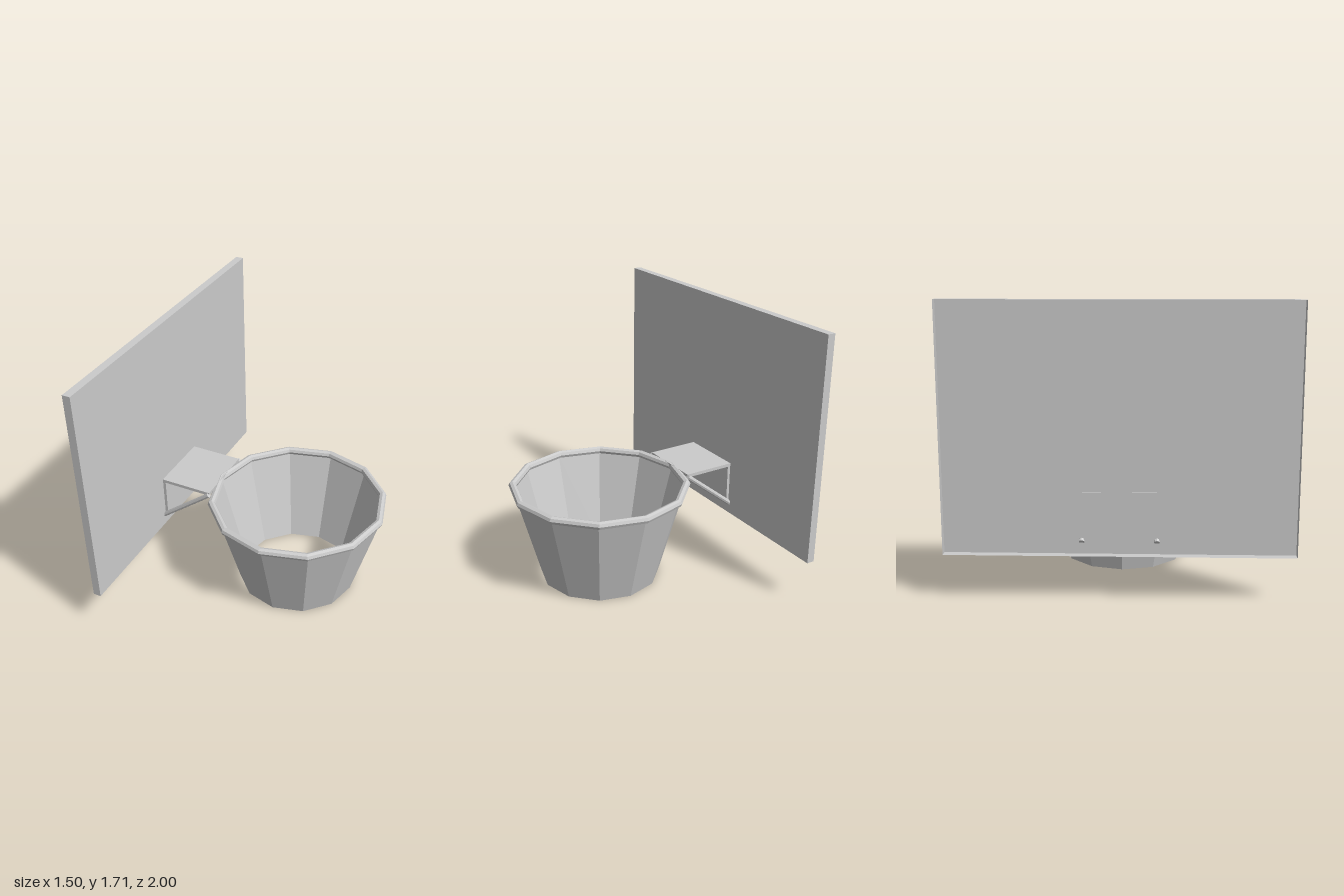
import * as THREE from 'three';

const material = new THREE.MeshStandardMaterial({
  color: 0xcccccc, flatShading: true, side: THREE.DoubleSide,
});

const SIDES = 12;
const HOOP_X = 0.175;
const HOOP_Y = 0.613;

function addMesh(parent, name, geometry, x = 0, y = 0, z = 0) {
  const mesh = new THREE.Mesh(geometry, material);
  mesh.name = name;
  mesh.position.set(x, y, z);
  parent.add(mesh);
  return mesh;
}

// Box given by its x and y limits and its width in z
function addBox(parent, name, x0, x1, y0, y1, width) {
  const geometry = new THREE.BoxGeometry(x1 - x0, y1 - y0, width);
  return addMesh(parent, name, geometry, (x0 + x1) / 2, (y0 + y1) / 2, 0);
}

// Straight round bar between two points
function addBar(parent, name, from, to, radius) {
  const axis = new THREE.Vector3().subVectors(to, from);
  const bar = addMesh(parent, name, new THREE.CylinderGeometry(radius, radius, axis.length(), 8));
  bar.position.addVectors(from, to).multiplyScalar(0.5);
  bar.quaternion.setFromUnitVectors(new THREE.Vector3(0, 1, 0), axis.normalize());
  return bar;
}

export function createModel() {
  const model = new THREE.Group();
  model.name = 'basketballHoop';

  // Backboard: shallow tray, open on its -x side (second face of the box)
  const board = addBox(model, 'backboard', -0.75, -0.7, 0.275, 1.71, 2);
  const index = Array.from(board.geometry.index.array);
  index.splice(6, 6);
  board.geometry.setIndex(index);

  // Bracket: angled plate with a diagonal strut on each side
  const bracket = new THREE.Group();
  bracket.name = 'bracket';
  model.add(bracket);
  addBox(bracket, 'topPlate', -0.705, -0.355, 0.615, 0.636, 0.42);
  addBox(bracket, 'wallPlate', -0.699, -0.68, 0.35, 0.615, 0.42);
  for (const side of [-1, 1]) {
    addBar(bracket, side > 0 ? 'frontStrut' : 'backStrut',
      new THREE.Vector3(-0.705, 0.345, side * 0.213),
      new THREE.Vector3(-0.355, 0.622, side * 0.213), 0.016);
  }

  // Rim: faceted ring
  const rim = addMesh(model, 'rim', new THREE.TorusGeometry(0.551, 0.025, 8, SIDES), HOOP_X, HOOP_Y, 0);
  rim.rotation.x = -Math.PI / 2;

  // Net: thin tapered wall, open at both ends; the extra quarter turn puts a corner on +x
  const net = addMesh(model, 'net',
    new THREE.CylinderGeometry(0.556, 0.386, HOOP_Y, SIDES, 1, true), HOOP_X + 0.005, HOOP_Y / 2, 0);
  net.rotation.y = Math.PI / 2;

  return model;
}
